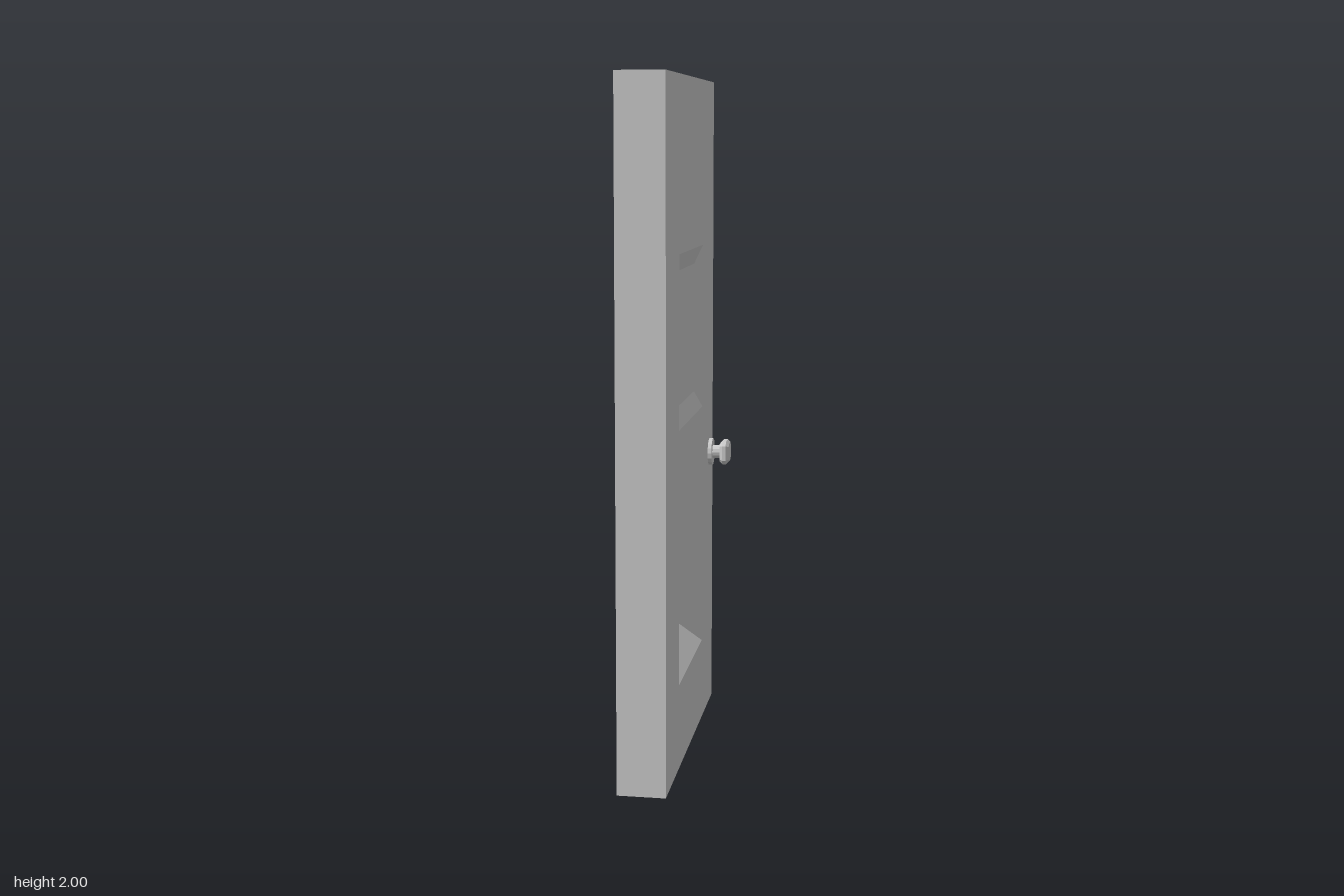
import * as THREE from 'three';

const W = 0.475, H = 2, T = 0.07; // half width, height, half thickness
const mat = new THREE.MeshStandardMaterial({ color: 0xcccccc, flatShading: true });

function add(parent, name, geometry) {
  const mesh = new THREE.Mesh(geometry, mat);
  mesh.name = name;
  parent.add(mesh);
  return mesh;
}

// Flat-shaded geometry from four-cornered faces, corners counter-clockwise
function quads(list) {
  const points = list.flatMap(([a, b, c, d]) => [a, b, c, a, c, d]).flat();
  const g = new THREE.BufferGeometry();
  g.setAttribute('position', new THREE.Float32BufferAttribute(points, 3));
  g.computeVertexNormals();
  return g;
}

// Corners of an upright rectangle, counter-clockwise from bottom left
const rect = (w, y0, y1, z) => [[-w, y0, z], [w, y0, z], [w, y1, z], [-w, y1, z]];

// Sunken panel: four sloping sides and a flat field
function recess({ y0, y1, inset, rise, depth }) {
  const o = rect(0.237, y0, y1, T);
  const i = rect(0.237 - inset, y0 + rise, y1 - rise, T - depth);
  const sides = o.map((p, k) => [p, o[(k + 1) % 4], i[(k + 1) % 4], i[k]]);
  return quads([...sides, i]);
}

// Square knob with cut corners and chamfered rims, on a stem and round plate
function makeKnob() {
  const knob = new THREE.Group();
  knob.name = 'knob';
  const disc = (name, r, z0, z1, n) =>
    add(knob, name, new THREE.CylinderGeometry(r, r, z1 - z0, n)
      .rotateX(Math.PI / 2).translate(0, 0, (z0 + z1) / 2));
  disc('knobPlate', 0.043, T - 0.005, 0.082, 16);
  disc('knobStem', 0.021, 0.08, 0.11, 12);
  const a = 0.028, c = 0.02;
  const outline = new THREE.Shape([
    [-c, -a], [c, -a], [a, -c], [a, c], [c, a], [-c, a], [-a, c], [-a, -c],
  ].map(([x, y]) => new THREE.Vector2(x, y)));
  add(knob, 'knobGrip', new THREE.ExtrudeGeometry(outline, {
    depth: 0.012, bevelEnabled: true, bevelSize: 0.009, bevelThickness: 0.009, bevelSegments: 1,
  }).translate(0, 0, 0.115));
  return knob;
}

// One face of the door, built facing +z, then turned sideways
function makeSide(name, turn, panels, knobX) {
  const side = new THREE.Group();
  side.name = name;
  const toShape = (w, y0, y1, Type) =>
    new Type(rect(w, y0, y1, 0).map(([x, y]) => new THREE.Vector2(x, y)));
  const face = toShape(W, 0, H, THREE.Shape);
  for (const p of panels) {
    face.holes.push(toShape(0.237, p.y0, p.y1, THREE.Path));
    add(side, p.name, recess(p));
  }
  add(side, 'doorFace', new THREE.ShapeGeometry(face).translate(0, 0, T));
  const knob = makeKnob();
  knob.position.set(knobX, 0.833, 0);
  side.add(knob);
  side.rotation.y = turn;
  return side;
}

export function createModel() {
  const door = new THREE.Group();
  door.name = 'door';

  // Narrow edges all round the slab
  add(door, 'doorEdges', quads([
    [[-T, 0, W], [T, 0, W], [T, H, W], [-T, H, W]],
    [[T, 0, -W], [-T, 0, -W], [-T, H, -W], [T, H, -W]],
    [[-T, H, W], [T, H, W], [T, H, -W], [-T, H, -W]],
    [[-T, 0, -W], [T, 0, -W], [T, 0, W], [-T, 0, W]],
  ]));

  // The left side has a shallow upper panel; the right side has two deep ones
  const upper = { name: 'upperPanel', y0: 1.003, y1: 1.503 };
  const lower = { name: 'lowerPanel', y0: 0.253, y1: 0.753 };
  door.add(makeSide('leftSide', Math.PI / 2, [
    { ...upper, inset: 0.048, rise: 0.054, depth: 0.02 },
    { ...lower, inset: 0.064, rise: 0.07, depth: 0.065 },
  ], 0.4));
  door.add(makeSide('rightSide', -Math.PI / 2, [
    { ...upper, inset: 0.056, rise: 0.062, depth: 0.05 },
    { ...lower, inset: 0.056, rise: 0.062, depth: 0.045 },
  ], -0.387));
  return door;
}
